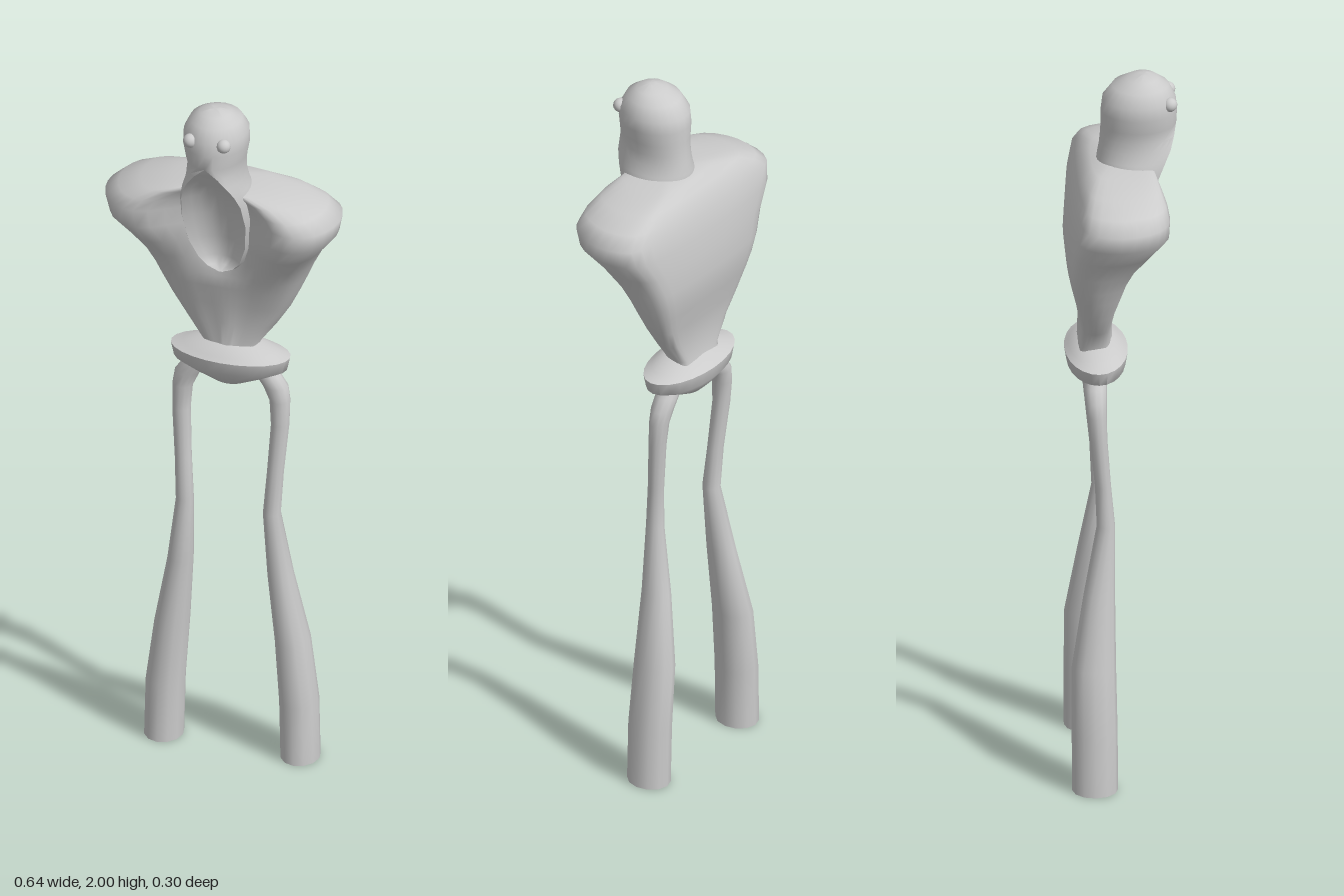
import * as THREE from 'three';
import { toCreasedNormals } from 'three/addons/utils/BufferGeometryUtils.js';

const material = new THREE.MeshStandardMaterial({ color: 0xcccccc });

// Skin a stack of equal-length rings (bottom to top) and close both ends.
function loft(rings, crease = 0.9) {
  const n = rings[0].length;
  const pos = rings.flat().flatMap((p) => [p.x, p.y, p.z]);
  const index = [];
  for (let i = 0; i < rings.length - 1; i++) {
    for (let j = 0; j < n; j++) {
      const k = (j + 1) % n;
      const a = i * n + j, b = i * n + k;
      index.push(a, b, b + n, a, b + n, a + n);
    }
  }
  for (const [row, top] of [[0, false], [rings.length - 1, true]]) {
    const c = new THREE.Vector3();
    rings[row].forEach((p) => c.add(p));
    c.divideScalar(n);
    const centre = pos.length / 3;
    pos.push(c.x, c.y, c.z);
    for (let j = 0; j < n; j++) {
      const a = row * n + j, b = row * n + ((j + 1) % n);
      index.push(centre, top ? a : b, top ? b : a);
    }
  }
  const g = new THREE.BufferGeometry();
  g.setAttribute('position', new THREE.Float32BufferAttribute(pos, 3));
  g.setIndex(index);
  return toCreasedNormals(g, crease);
}

function ellipse(x, y, z, rx, rz, n) {
  return Array.from({ length: n }, (_, i) => {
    const a = (i / n) * Math.PI * 2;
    return new THREE.Vector3(x + rx * Math.sin(a), y, z + rz * Math.cos(a));
  });
}

// Torso section: hollow middle front, bulging shoulders, flat back.
function torsoRing([y, w, zc, zs, zb]) {
  const d = zs - zb;
  const half = [
    [0.3, (zc + zs) / 2], [0.65, zs], [0.89, zs - 0.13 * d],
    [1, zb + 0.48 * d], [0.9, zb + 0.12 * d], [0.6, zb + 0.03 * d],
  ];
  const pts = [[0, zc], ...half, [0, zb], ...half.map(([x, z]) => [-x, z]).reverse()]
    .map(([x, z]) => new THREE.Vector3(x * w, y, z));
  return new THREE.CatmullRomCurve3(pts, true).getPoints(42).slice(0, 42);
}

// Head section: round back ending at the mouth rim, then the hollow mouth.
function headRing([y, w, zr, zb, l]) {
  const a0 = Math.asin(l / w);
  const d = (zr - zb) / (1 + Math.cos(a0));
  const pts = [];
  for (let i = 0; i <= 24; i++) {
    const a = a0 + (i / 24) * 2 * (Math.PI - a0);
    pts.push(new THREE.Vector3(w * Math.sin(a), y, zb + d + d * Math.cos(a)));
  }
  for (let i = 1; i < 8; i++) {
    const t = -1 + i / 4;
    pts.push(new THREE.Vector3(l * t, y, zr - 0.55 * l * (1 - t * t)));
  }
  return pts;
}

export function createModel() {
  const model = new THREE.Group();
  const add = (name, geometry) => {
    const mesh = new THREE.Mesh(geometry, material);
    mesh.name = name;
    model.add(mesh);
    return mesh;
  };

  // Torso: y, half width, middle front z, shoulder front z, back z
  add('torso', loft([
    [1.19, 0.08, -0.01, -0.03, -0.12],
    [1.235, 0.078, -0.02, -0.03, -0.11],
    [1.3, 0.125, -0.02, -0.028, -0.108],
    [1.36, 0.163, -0.01, -0.018, -0.118],
    [1.42, 0.192, 0, 0, -0.132],
    [1.46, 0.21, 0.01, 0.012, -0.14],
    [1.51, 0.232, -0.005, 0.035, -0.145],
    [1.57, 0.263, -0.015, 0.08, -0.141],
    [1.63, 0.308, -0.01, 0.118, -0.136],
    [1.68, 0.32, 0, 0.12, -0.125],
    [1.712, 0.283, 0.015, 0.113, -0.113],
    [1.738, 0.22, 0.03, 0.1, -0.098],
    [1.757, 0.13, 0.05, 0.085, -0.075],
    [1.765, 0.05, 0.05, 0.06, -0.03],
  ].map(torsoRing), 1.2));

  // Head and gaping mouth: y, half width, front z, back z, mouth half width
  add('headAndMouth', loft([
    [1.48, 0.02, 0.02, -0.05, 0.004],
    [1.495, 0.045, 0.023, -0.05, 0.035],
    [1.52, 0.065, 0.03, -0.05, 0.056],
    [1.58, 0.088, 0.05, -0.05, 0.078],
    [1.66, 0.098, 0.073, -0.05, 0.087],
    [1.73, 0.1, 0.097, -0.065, 0.082],
    [1.77, 0.085, 0.115, -0.06, 0.07],
    [1.8, 0.077, 0.13, -0.055, 0.054],
    [1.83, 0.075, 0.14, -0.052, 0.032],
    [1.86, 0.078, 0.148, -0.05, 0],
    [1.9, 0.086, 0.15, -0.05, 0],
    [1.935, 0.085, 0.146, -0.046, 0],
    [1.97, 0.068, 0.128, -0.02, 0],
    [1.99, 0.042, 0.1, 0.02, 0],
    [2, 0.014, 0.075, 0.05, 0],
  ].map(headRing)));

  // Pelvis: y, half width, half depth
  add('pelvis', loft([
    [1.1, 0.006, 0.006], [1.115, 0.045, 0.034], [1.14, 0.1, 0.058],
    [1.167, 0.155, 0.077], [1.203, 0.163, 0.083], [1.213, 0.13, 0.072],
    [1.235, 0.075, 0.047],
  ].map(([y, rx, rz]) => ellipse(0, y, -0.062, rx, rz, 24))));

  for (const [side, s] of [['left', 1], ['right', -1]]) {
    // Eyes
    const eye = add(side + 'Eye', new THREE.SphereGeometry(0.019, 16, 12));
    eye.position.set(s * 0.046, 1.93, 0.129);

    // Legs: y, centre x, centre z, half width, half depth
    add(side + 'Leg', loft([
      [0, 0.188, -0.075, 0.052, 0.06],
      [0.17, 0.184, -0.076, 0.052, 0.06],
      [0.35, 0.166, -0.077, 0.046, 0.058],
      [0.55, 0.138, -0.061, 0.034, 0.041],
      [0.74, 0.12, -0.043, 0.024, 0.024],
      [0.86, 0.127, -0.051, 0.023, 0.021],
      [1, 0.136, -0.063, 0.025, 0.023],
      [1.07, 0.134, -0.067, 0.028, 0.026],
      [1.11, 0.122, -0.069, 0.034, 0.029],
      [1.14, 0.102, -0.069, 0.034, 0.03],
      [1.17, 0.085, -0.068, 0.028, 0.028],
    ].map(([y, x, z, rx, rz]) => ellipse(s * x, y, z, rx, rz, 12))));
  }
  return model;
}
